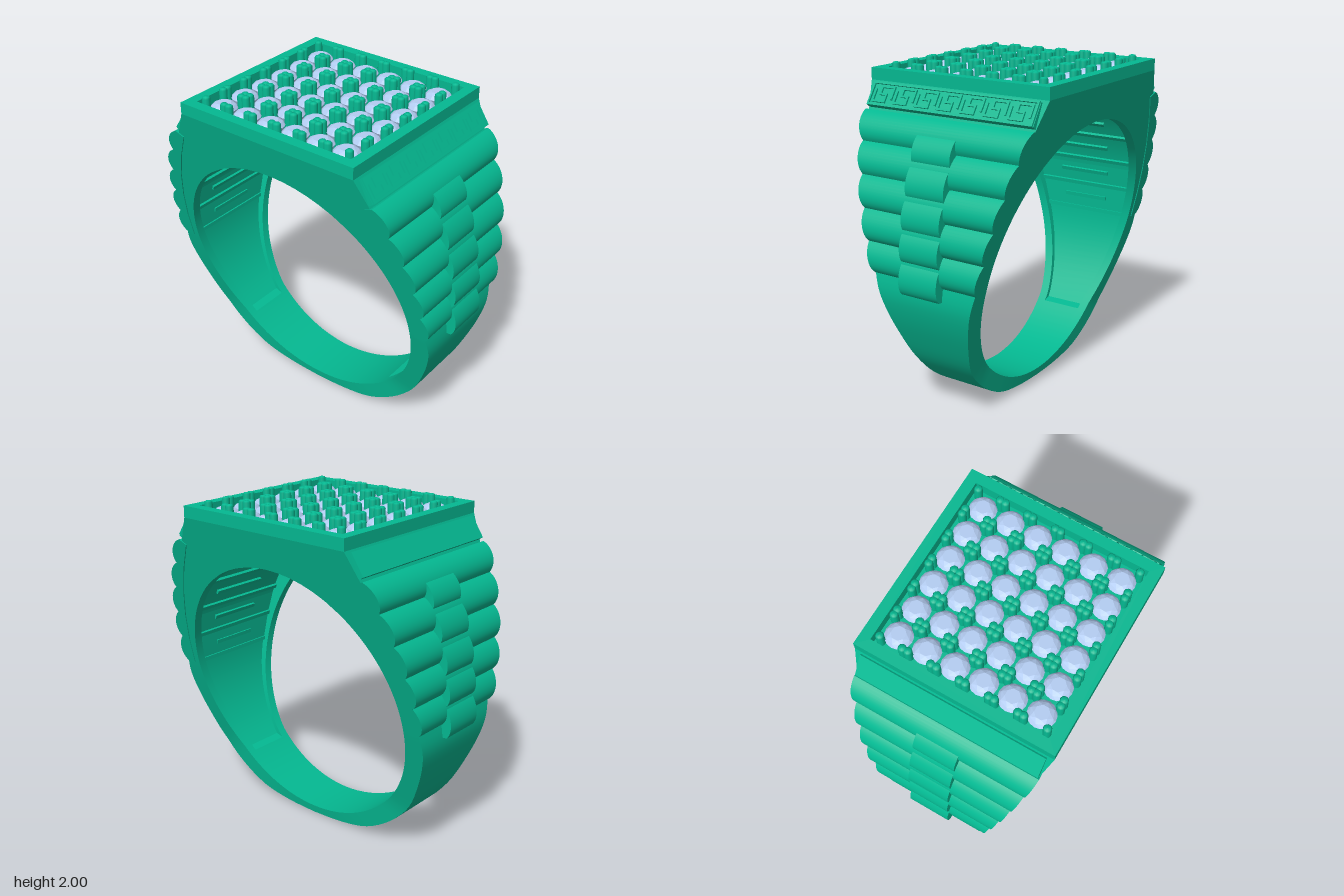
import * as THREE from 'three';
import { mergeGeometries, toCreasedNormals } from 'three/addons/utils/BufferGeometryUtils.js';
import { ConvexGeometry } from 'three/addons/geometries/ConvexGeometry.js';

const metal = new THREE.MeshStandardMaterial({ color: 0x04b891 });
const stone = new THREE.MeshStandardMaterial({ color: 0xb4cdf2, flatShading: true });
const CY = 0.8675, RI = 0.8175; // centre height and radius of the finger hole

// piecewise-linear lookup
function lerpTable(xs, ys, x) {
  if (x <= xs[0]) return ys[0];
  for (let i = 1; i < xs.length; i++) {
    if (x <= xs[i]) return ys[i - 1] + (ys[i] - ys[i - 1]) * (x - xs[i - 1]) / (xs[i] - xs[i - 1]);
  }
  return ys[ys.length - 1];
}
// half width of the ring along z at height y
const halfWidth = y => lerpTable([0, 0.06, 0.3, 0.87, 1.9], [0.155, 0.165, 0.19, 0.345, 0.6], y);
// outer x of the shoulder under the scales
const shoulderX = y => lerpTable([0.8, 0.87, 1.05, 1.23, 1.41, 1.585, 1.75],
  [0.925, 0.915, 0.91, 0.885, 0.84, 0.775, 0.695], y);

function add(parent, name, geometry, material = metal) {
  const mesh = new THREE.Mesh(geometry, material);
  mesh.name = name;
  parent.add(mesh);
  return mesh;
}

// radius of the hollow behind the shoulders and table
function hollowRadius(angle) {
  const s = Math.sin(angle), a = Math.asin(s);
  if (CY + RI * s < 0.28) return RI;
  if (a > 1.083) return (1.81 - CY) / s;
  return lerpTable([-0.75, 0, 0.211, 0.415, 0.627, 0.836, 1.083],
    [0.845, 0.86, 0.869, 0.896, 0.926, 0.968, 1.067], a);
}

// band: a loop of cross-sections swept round the finger hole
function bandGeometry() {
  const lower = [[0, 0], [0.22, 0.013], [0.43, 0.06], [0.62, 0.175], [0.765, 0.33], [0.86, 0.52],
    [0.915, 0.68], [0.93, 0.8], [0.905, 0.95], [0.89, 1.1], [0.86, 1.25], [0.81, 1.42],
    [0.74, 1.6], [0.67, 1.76]].map(p => new THREE.Vector2(...p));
  const right = new THREE.SplineCurve(lower).getPoints(52);
  for (const x of [0.6, 0.548, 0.44, 0.33, 0.22, 0.11, 0]) right.push(new THREE.Vector2(x, 1.9));
  const left = right.slice(1, -1).reverse().map(p => new THREE.Vector2(-p.x, p.y));

  const sections = [...right, ...left].map(p => {
    const angle = Math.atan2(p.y - CY, p.x), outer = Math.hypot(p.x, p.y - CY);
    const at = (r, z) => [r * Math.cos(angle), CY + r * Math.sin(angle), z];
    const wo = halfWidth(p.y), wi = halfWidth(CY + RI * Math.sin(angle)), rim = wi - 0.055;
    const h = hollowRadius(angle);
    return [at(outer, wo), at(outer, -wo), at(RI, -wi), at(RI, -rim),
      at(h, -rim), at(h, rim), at(RI, rim), at(RI, wi)];
  });
  const pos = [];
  sections.forEach((a, i) => {
    const b = sections[(i + 1) % sections.length];
    for (let k = 0; k < 8; k++) {
      const n = (k + 1) % 8;
      pos.push(...a[k], ...a[n], ...b[n], ...a[k], ...b[n], ...b[k]);
    }
  });
  const g = new THREE.BufferGeometry();
  g.setAttribute('position', new THREE.Float32BufferAttribute(pos, 3));
  return toCreasedNormals(g, 0.45);
}

// one bulging scale between heights y0 and y1; widthAt gives its half width
function scaleGeometry(y0, y1, lift, bulge, widthAt) {
  const x0 = shoulderX(y0) + lift, x1 = shoulderX(y1) + lift;
  const n = new THREE.Vector2(y1 - y0, x0 - x1).normalize();
  const out = (t, d) => [x0 + (x1 - x0) * t + n.x * d, y0 + (y1 - y0) * t + n.y * d];
  const s = new THREE.Shape();
  s.moveTo(...out(0, -0.06));
  s.lineTo(...out(0, 0));
  s.bezierCurveTo(...out(0.2, bulge * 1.4), ...out(0.7, bulge * 1.25), ...out(1, 0));
  s.lineTo(...out(1, -0.06));
  const g = new THREE.ExtrudeGeometry(s, { depth: 2, bevelEnabled: false, curveSegments: 12 });
  const p = g.attributes.position;
  for (let i = 0; i < p.count; i++) p.setZ(i, (p.getZ(i) - 1) * widthAt(p.getY(i)));
  return toCreasedNormals(g, 0.6);
}

// shoulder with two layers of scales and ribs in the hollow behind them
function shoulder() {
  const side = new THREE.Group();
  const wide = [0.87, 1.05, 1.23, 1.41, 1.585, 1.75];
  const narrow = [0.8, 0.985, 1.16, 1.34, 1.52, 1.68];
  for (let i = 0; i < 5; i++) {
    add(side, 'wideScale', scaleGeometry(wide[i], wide[i + 1], 0, 0.042, y => halfWidth(y) + 0.006));
    add(side, 'centreScale', scaleGeometry(narrow[i], narrow[i + 1], 0.032, 0.032, () => 0.13));
    // inner step at each panel edge and a short bar in the middle of the panel
    for (const [name, angle, half] of [['innerStep', i * 0.21, 1], ['innerBar', i * 0.21 + 0.105, 0.5]]) {
      const r = hollowRadius(angle);
      const inner = halfWidth(CY + RI * Math.sin(angle)) - 0.055;
      const rib = add(side, name, new THREE.BoxGeometry(0.03, 0.025, 2 * half * inner));
      rib.position.set(r * Math.cos(angle), CY + r * Math.sin(angle), 0);
      rib.rotation.z = angle;
    }
  }
  return side;
}

// slanted panel below the table, optionally with a meander relief
function slantedPanel(withRelief) {
  const panel = new THREE.Group();
  panel.position.set(0.658, 1.835, 0);
  panel.rotation.z = 0.588;
  add(panel, 'panelPlate', new THREE.BoxGeometry(0.05, 0.144, 1.12)).position.x = -0.028;
  if (!withRelief) return panel;
  const strips = [];
  const strip = (u0, v0, u1, v1) => strips.push(
    new THREE.BoxGeometry(0.012, Math.abs(v1 - v0) + 0.012, Math.abs(u1 - u0) + 0.012)
      .translate(0.001, (v0 + v1) / 2, -(u0 + u1) / 2));
  for (const v of [-0.066, 0.066]) strip(-0.55, v, 0.55, v);
  for (const u of [-0.55, 0.55]) strip(u, -0.066, u, 0.066);
  const path = [[0, 3], [0, 0], [2.7, 0], [2.7, 2], [1.3, 2], [1.3, 4], [4.1, 4], [4.1, 1]];
  for (let k = 0; k < 7; k++) {
    const pts = path.map(([u, v]) => [-0.525 + k * 0.154 + u * 0.031, -0.045 + v * 0.0225]);
    for (let i = 1; i < pts.length; i++) strip(...pts[i - 1], ...pts[i]);
  }
  add(panel, 'meanderRelief', mergeGeometries(strips));
  return panel;
}

// square rim round the stones
function tableRim() {
  const square = (shape, h) => shape.moveTo(-h, -h).lineTo(h, -h).lineTo(h, h).lineTo(-h, h).closePath();
  const s = square(new THREE.Shape(), 0.6);
  s.holes.push(square(new THREE.Path(), 0.535));
  return new THREE.ExtrudeGeometry(s, { depth: 0.07, bevelEnabled: false })
    .rotateX(-Math.PI / 2).translate(0, 1.9, 0);
}

// brilliant-cut stone: hull of the culet, girdle, crown and table rings
function gemGeometry() {
  const points = [];
  for (const [count, r, y, turn] of [[8, 0.014, -0.138, 0], [16, 0.08, 0, 0], [8, 0.066, 0.018, 0], [8, 0.042, 0.03, 0.5]]) {
    for (let i = 0; i < count; i++) {
      const a = (i + turn) / count * Math.PI * 2;
      points.push(new THREE.Vector3(r * Math.cos(a), y, r * Math.sin(a)));
    }
  }
  return new ConvexGeometry(points);
}

export function createModel() {
  const ring = new THREE.Group();
  ring.name = 'ring';
  add(ring, 'band', bandGeometry());
  add(ring, 'tableRim', tableRim());

  // shoulders and panels on both sides
  for (const [name, turn] of [['left', 0], ['right', Math.PI]]) {
    const side = shoulder();
    side.name = name + 'Shoulder';
    const panel = slantedPanel(turn === 0);
    panel.name = name + 'Panel';
    side.add(panel);
    side.rotation.y = turn;
    ring.add(side);
  }

  // six by six stones, each held by four prongs
  const gem = gemGeometry(), gems = [], prongs = [];
  const prong = new THREE.LatheGeometry([[0.024, -0.1], [0.024, -0.012], [0.017, -0.003], [0, 0]]
    .map(p => new THREE.Vector2(...p)), 10);
  for (let i = 0; i < 6; i++) {
    for (let j = 0; j < 6; j++) {
      const x = (i - 2.5) * 0.172, z = (j - 2.5) * 0.172;
      gems.push(gem.clone().translate(x, 1.928, z));
      for (const dx of [-0.069, 0.069]) {
        for (const dz of [-0.069, 0.069]) prongs.push(prong.clone().translate(x + dx, 2, z + dz));
      }
    }
  }
  add(ring, 'stones', mergeGeometries(gems), stone);
  add(ring, 'prongs', mergeGeometries(prongs));
  return ring;
}
